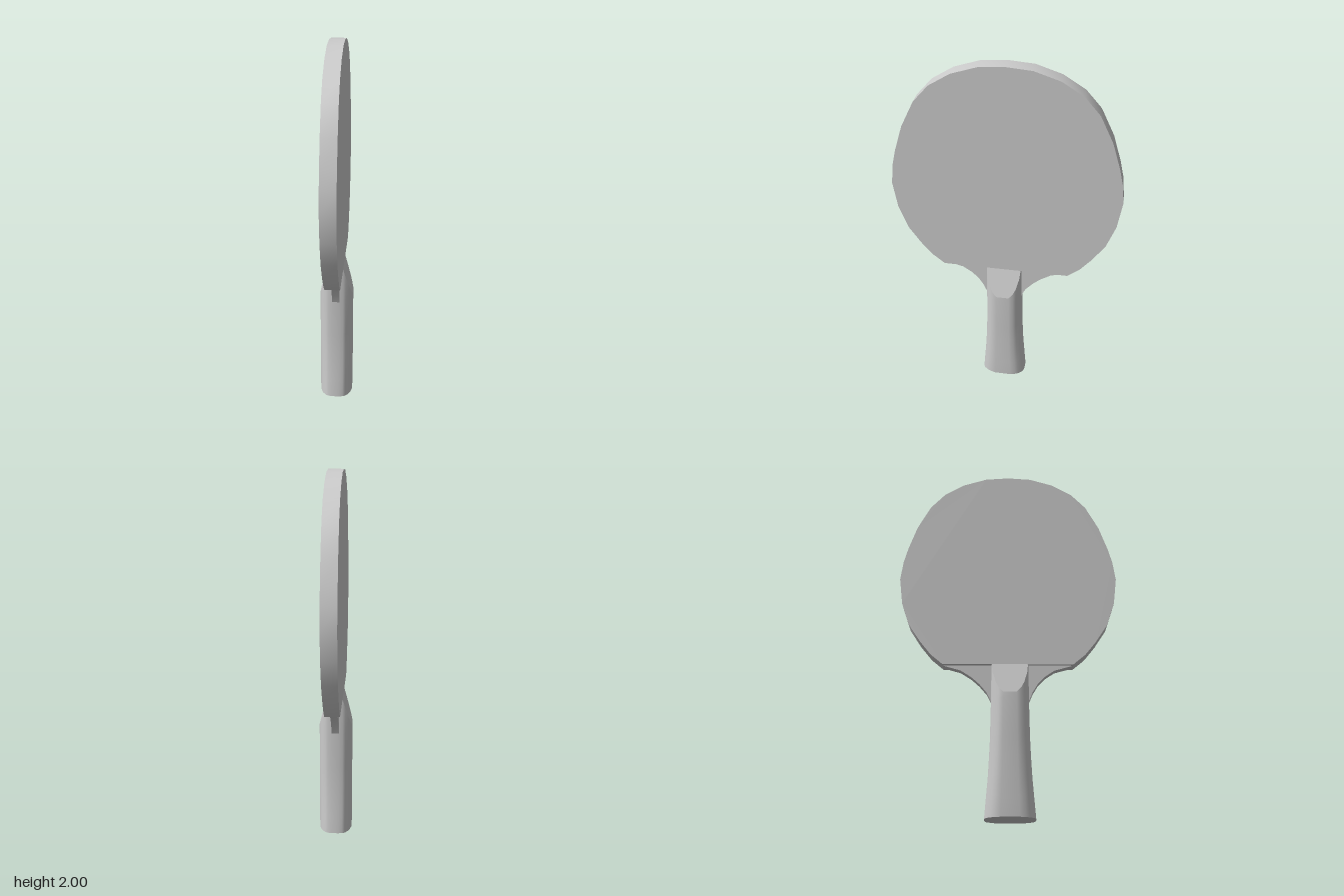
import * as THREE from 'three';
import { mergeGeometries, toCreasedNormals } from 'three/addons/utils/BufferGeometryUtils.js';

const grey = new THREE.MeshStandardMaterial({ color: 0xcccccc });

function addMesh(group, name, geometry) {
  const mesh = new THREE.Mesh(geometry, grey);
  mesh.name = name;
  group.add(mesh);
}

// Slab with a (z, y) outline, centred on x = 0
function slab(points, thickness) {
  const shape = new THREE.Shape(points.map(([z, y]) => new THREE.Vector2(-z, y)));
  const geo = new THREE.ExtrudeGeometry(shape, { depth: thickness, bevelEnabled: false });
  geo.translate(0, 0, -thickness / 2).rotateY(Math.PI / 2);
  return toCreasedNormals(geo, 0.5);
}

function indexed(positions, index) {
  const geo = new THREE.BufferGeometry();
  geo.setAttribute('position', new THREE.Float32BufferAttribute(positions, 3));
  geo.setIndex(index);
  return geo;
}

// Flared oval grip whose top is bevelled towards the blade on both faces
function handleGeometry() {
  // Quarter of the cross-section: x, and z as a share of the half width
  const quarter = [[0, 1], [0.02, 0.995], [0.04, 0.97], [0.055, 0.92], [0.073, 0.75], [0.082, 0.6], [0.09, 0.36]];
  const half = [...quarter, ...quarter.slice().reverse().map(([x, z]) => [x, -z])];
  const ring = [...half, ...half.slice(1, -1).reverse().map(([x, z]) => [-x, z])];
  const n = ring.length;
  // Rows: height and half width; the last row follows the bevel
  const rows = [[0, 0.127], [0.1, 0.119], [0.2, 0.111], [0.3, 0.106], [0.4, 0.102], [0.6, 0.099], [null, 0.098]];
  const bevelY = x => Math.min(0.8, 0.63 + (0.09 - Math.abs(x)) / 0.05 * 0.17);

  const positions = [], wall = [], caps = [];
  for (const [y, w] of rows)
    for (const [x, z] of ring) positions.push(x, y ?? bevelY(x), z * w + 0.01);

  for (let r = 0; r < rows.length - 1; r++)
    for (let i = 0; i < n; i++) {
      const a = r * n + i, b = r * n + (i + 1) % n;
      wall.push(a, b, b + n, a, b + n, a + n);
    }

  // End caps: strips joining each point to its mirror across z
  const top = (rows.length - 1) * n, wrap = k => (k + n) % n;
  for (let k = 1 - quarter.length; k < quarter.length - 1; k++) {
    const [a, b, c, d] = [k, k + 1, n / 2 - k - 1, n / 2 - k].map(wrap);
    caps.push(top + a, top + b, top + c, top + a, top + c, top + d);
    caps.push(a, c, b, a, d, c);
  }

  const wallGeo = indexed(positions, wall);
  wallGeo.computeVertexNormals();
  const capGeo = indexed(positions, caps).toNonIndexed();
  capGeo.computeVertexNormals();
  return mergeGeometries([wallGeo.toNonIndexed(), capGeo]);
}

export function createModel() {
  const paddle = new THREE.Group();
  paddle.name = 'paddle';

  // Blade with its facings: rounded outline cut straight above the handle
  const side = [[0.345, 0.8], [0.41, 0.855], [0.47, 0.93], [0.535, 1.03], [0.58, 1.16], [0.6, 1.31],
    [0.587, 1.42], [0.565, 1.51], [0.52, 1.65], [0.45, 1.79], [0.37, 1.88], [0.26, 1.948], [0.13, 1.99]];
  const mirrored = side.slice().reverse().map(([z, y]) => [-z, y]);
  addMesh(paddle, 'blade', slab([...side, [0, 2], ...mirrored], 0.08));

  // Thin core that sweeps from the blade into the handle
  addMesh(paddle, 'neck', slab([
    [0.345, 0.8], [0.245, 0.772], [0.195, 0.738], [0.158, 0.7], [0.128, 0.65], [0.112, 0.61], [0.1, 0.58],
    [-0.08, 0.58], [-0.092, 0.61], [-0.112, 0.65], [-0.15, 0.695], [-0.19, 0.732], [-0.25, 0.772], [-0.345, 0.8],
    [-0.3, 0.82], [0.3, 0.82],
  ], 0.04));

  addMesh(paddle, 'handle', handleGeometry());
  return paddle;
}
